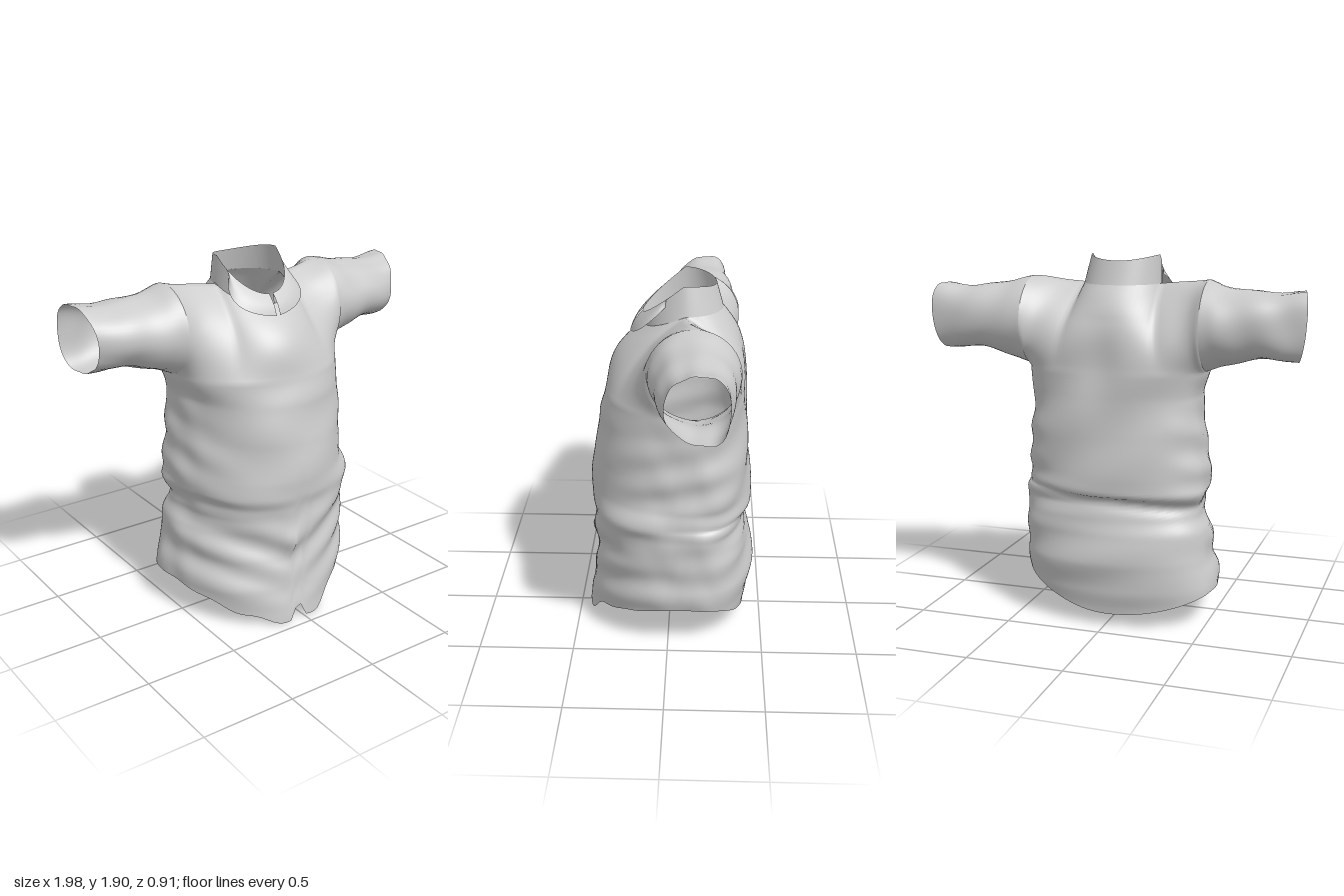
import * as THREE from 'three';
import { mergeGeometries, mergeVertices } from 'three/addons/utils/BufferGeometryUtils.js';

const { sin, cos, abs, PI, exp, max, min, sign } = Math;
const V = (x, y, z) => new THREE.Vector3(x, y, z);
const mat = new THREE.MeshStandardMaterial({ color: 0xcccccc, side: THREE.DoubleSide });
const bump = (x, centre, width) => exp(-(((x - centre) / width) ** 2));
const ramp = (x, a, b) => min(1, max(0, (x - a) / (b - a)));

// Torso outline by height: y, right x, left x, front z, back z
const OUTLINE = [
  [0.0, -0.53, 0.47, 0.45, -0.40], [0.1, -0.53, 0.47, 0.44, -0.41], [0.2, -0.53, 0.48, 0.43, -0.43],
  [0.35, -0.50, 0.50, 0.40, -0.45], [0.5, -0.47, 0.50, 0.40, -0.43], [0.58, -0.44, 0.50, 0.41, -0.41],
  [0.65, -0.45, 0.50, 0.41, -0.39], [0.71, -0.48, 0.51, 0.42, -0.43], [0.8, -0.47, 0.47, 0.42, -0.43],
  [1.0, -0.44, 0.47, 0.40, -0.42], [1.2, -0.435, 0.46, 0.37, -0.41], [1.33, -0.47, 0.47, 0.335, -0.41],
];
const ARM = { x: 0.47, y: 1.56, z: -0.13, r: 0.23 };

function outlineAt(y) {
  let i = 0;
  while (i < OUTLINE.length - 2 && OUTLINE[i + 1][0] < y) i++;
  const a = OUTLINE[i], b = OUTLINE[i + 1];
  let t = ramp(y, a[0], b[0]);
  t = t * t * (3 - 2 * t) * 0.5 + t * 0.5;
  return a.map((n, k) => n + (b[k] - n) * t);
}

// Point on the torso; angle 0 is the left side, PI / 2 the front
function ring(angle, y) {
  const [, x0, x1, front, back] = outlineAt(y);
  const c = cos(angle), s = sin(angle);
  const depth = s > 0 ? s ** (0.88 - 0.1 * c) * (front - ARM.z) : -((-s) ** 0.75) * (ARM.z - back);
  return V((x0 + x1) / 2 + c * (x1 - x0) / 2, y, ARM.z + depth);
}

// Curved hem: long at front and back, raised at the sides, notched at the front
function hem(angle) {
  const c = cos(angle), s = sin(angle);
  const side = 0.03 * c * abs(c);
  if (s < 0) return 0.075 + 0.145 * c * c + side;
  const notch = 0.1 * bump(c, -0.03, 0.05) + 0.07 * s * bump(c, 0.6, 0.2);
  return 0.01 + 0.21 * c * c + side + notch + 0.012 * sin(angle * 13) * s;
}

const armhole = (side, a) => V(side * ARM.x, ARM.y + ARM.r * sin(a), ARM.z + ARM.r * cos(a));

// Smooth indexed surface from a rule f(u, v)
function grid(nu, nv, f) {
  const pos = [], index = [];
  for (let j = 0; j <= nv; j++) {
    for (let i = 0; i <= nu; i++) pos.push(...f(i / nu, j / nv).toArray());
  }
  for (let j = 0; j < nv; j++) {
    for (let i = 0; i < nu; i++) {
      const a = j * (nu + 1) + i, b = a + 1, c = a + nu + 1, d = c + 1;
      index.push(a, b, d, a, d, c);
    }
  }
  const g = new THREE.BufferGeometry();
  g.setAttribute('position', new THREE.Float32BufferAttribute(pos, 3));
  g.setIndex(index);
  return g;
}

// Neckline, angle 0 at the front
function neck(b) {
  const c = cos(b);
  return V(0.2 * sin(b), 1.76 - (c > 0 ? 0.09 * c : 0), -0.08 + c * (c > 0 ? 0.21 : 0.19));
}

// Chest or back panel between armholes, shoulder seams and neckline
function panel(s) {
  const bottom = (u) => ring(s > 0 ? PI * (1 - u) : -PI * u, 1.33);
  const edge = (side, v) => {
    const a = -PI / 2 + PI * v;
    return armhole(side, s > 0 ? a : PI - a);
  };
  const top = (u) => {
    const a = s * (2 * u - 1), k = abs(a), side = a < 0 ? -1 : 1;
    if (k > 0.4) return V(0.2 * side, 1.76, -0.08).lerp(armhole(side, PI / 2), (k - 0.4) / 0.6);
    const b = (a / 0.4) * PI / 2;
    return neck(s > 0 ? b : PI - b);
  };
  return grid(48, 24, (u, v) => {
    const a = 2 * u - 1, end = a < 0 ? 0 : 1;
    const p = bottom(u).lerp(top(u), v);
    // Pull towards the curved armhole near the sides only
    const pull = edge(s * (a < 0 ? -1 : 1), v).sub(bottom(end).lerp(top(end), v));
    p.addScaledVector(pull, abs(a) ** 3);
    // Fullness of the chest, or of the shoulder blades
    const full = s > 0 ? 0.055 : 0.06 + 0.03 * bump(abs(a), 0.5, 0.25);
    p.z += s * full * sin(PI * v ** 1.1) * (1 - a ** 4);
    return p;
  });
}

// Depth of the cloth folds at a point
function folds(p) {
  const { x, y, z } = p;
  const low = bump(y, 0.4, 0.2), front = ramp(z, -0.25, 0.1), back = 1 - front;
  let w = 0.004 * sin(9 * x + 13 * y + 5 * z) + 0.003 * sin(17 * y - 11 * x * (2 * front - 1));
  w += front * 0.013 * low * sin(30 * y - 14 * abs(x + 0.06));
  w += front * 0.02 * bump(x, -0.06, 0.035) * bump(y, 0.45, 0.12);
  w += back * 0.006 * low * sin(20 * y + 6 * x);
  w -= back * 0.02 * bump(y, 0.67 + 0.1 * x, 0.025);
  w -= back * 0.03 * bump(x, 0.03, 0.12) * bump(y, 1.45, 0.3);
  w += 0.008 * bump(abs(x), 0.48, 0.12) * bump(y, 0.85, 0.35) * sin(34 * y + 8 * z);
  if (abs(x) > 0.48 && y > 1.3) w += 0.004 * sin(26 * abs(x) + 12 * y);
  // Quiet at the armhole seams and neckline so the parts stay joined
  w *= 1 - ramp(y, 1.2, 1.33) * (1 - ramp(abs(abs(x) - ARM.x), 0, 0.07));
  return w * (1 - ramp(y, 1.6, 1.72) * ramp(abs(x), 0.34, 0.24));
}

function cloth(name, parts, wrinkled = true) {
  const g = mergeVertices(mergeGeometries(parts), 1e-4);
  g.computeVertexNormals();
  if (wrinkled) {
    const pos = g.attributes.position, nor = g.attributes.normal;
    const p = V(0, 0, 0), n = V(0, 0, 0);
    for (let i = 0; i < pos.count; i++) {
      p.fromBufferAttribute(pos, i);
      n.fromBufferAttribute(nor, i);
      p.addScaledVector(n, folds(p));
      pos.setXYZ(i, p.x, max(0, p.y), p.z);
    }
    g.computeVertexNormals();
  }
  const mesh = new THREE.Mesh(g, mat);
  mesh.name = name;
  return mesh;
}

// Short sleeve tapering to a slanted, slightly squared open cuff
function sleeve(side) {
  return grid(48, 24, (u, v) => {
    const a = -side * 2 * PI * u, c = cos(a), s = sin(a);
    const end = V(
      side * (0.95 - 0.035 * c + 0.015 * s),
      1.575 + 0.17 * sign(s) * abs(s) ** 0.9,
      -0.145 + 0.15 * sign(c) * abs(c) ** 0.9 - 0.04 * s * s,
    );
    const p = armhole(side, a).lerp(end, v);
    p.y += sin(PI * v) * (0.03 * max(0, -s) - 0.03 * max(0, s));
    return p;
  });
}

// Upper edge of the standing collar, falling towards the front
function collarTop(b) {
  const f = max(0, cos(b));
  return V(0.18 * sin(b) - 0.015, 1.88 - 0.15 * f ** 0.9 + 0.025 * sin(b) ** 2, -0.07 + (f > 0 ? 0.21 : 0.165) * cos(b));
}

export function createModel() {
  const group = new THREE.Group();

  const lower = grid(96, 80, (u, v) => {
    const a = -2 * PI * u, h = hem(a);
    return ring(a, h + (1.33 - h) * v);
  });
  group.add(cloth('shirtBody', [lower, panel(1), panel(-1)]));
  group.add(cloth('leftSleeve', [sleeve(1)]), cloth('rightSleeve', [sleeve(-1)]));

  // Standing collar, open at the front
  const stand = grid(64, 8, (u, v) => {
    const b = 0.06 + (2 * PI - 0.12) * u;
    return neck(b).lerp(collarTop(b), v);
  });
  group.add(cloth('collarStand', [stand], false));

  // Turned-down collar points lying on the chest
  for (const side of [1, -1]) {
    const flap = grid(16, 6, (u, v) => {
      const b = side * (1.25 - 1.19 * u);
      const p = collarTop(b);
      p.x += side * v * 0.08 * max(0, sin(PI * u)) ** 0.8;
      p.y -= v * (0.05 + 0.05 * u);
      p.z += v * (0.02 + 0.045 * u) + 0.01 * sin(PI * v);
      return p;
    });
    group.add(cloth(side > 0 ? 'leftCollarFlap' : 'rightCollarFlap', [flap], false));
  }
  return group;
}
